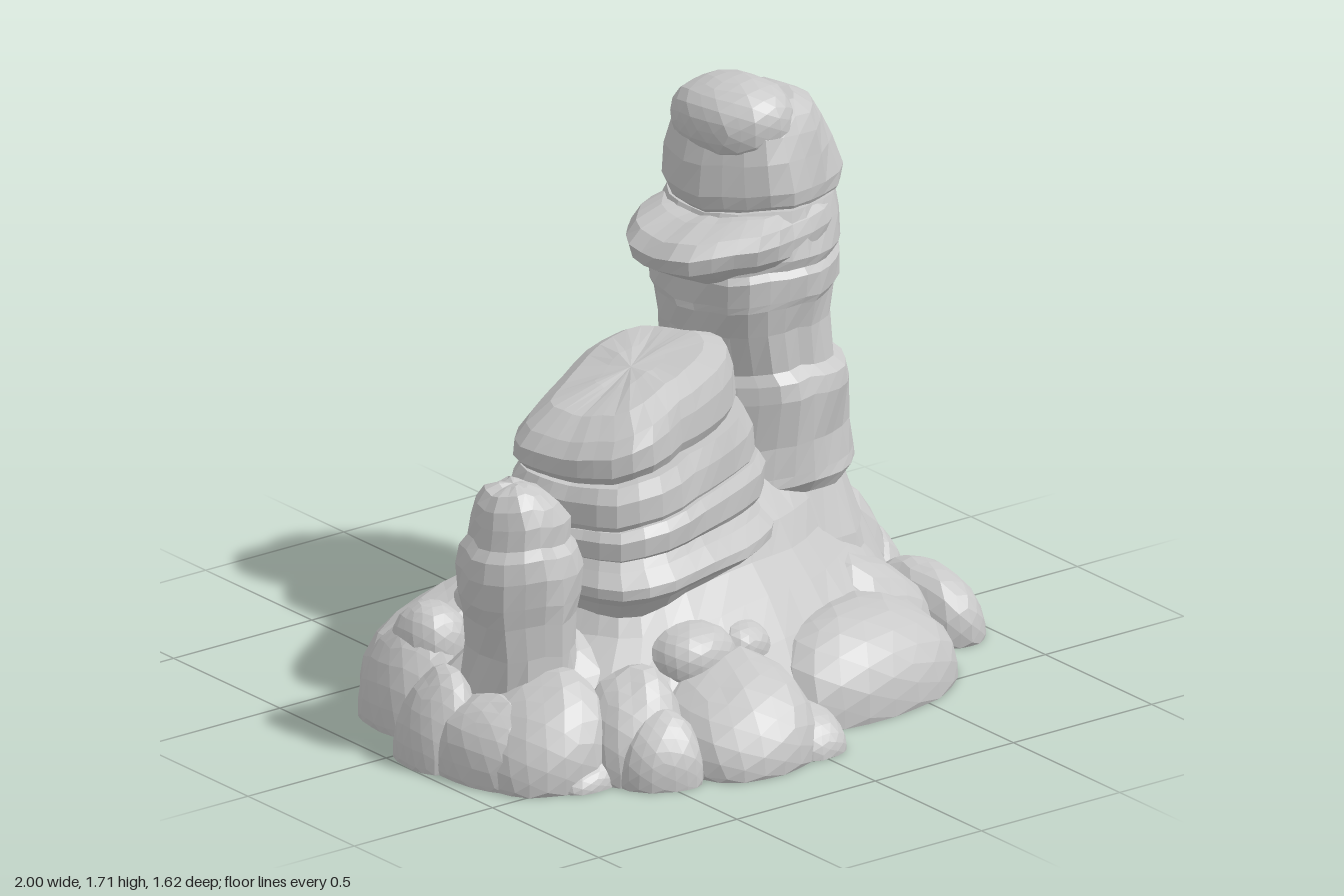
import * as THREE from 'three';

const stone = new THREE.MeshStandardMaterial({ color: 0xc8c8c8, flatShading: true });
stone.name = 'grey stone';

// Repeatable lumpiness that depends only on position, so shared corners stay joined
const lump = (x, y, z) =>
  Math.sin(x * 13 + z * 7 + y * 5) * 0.5 + Math.sin(z * 17 - x * 9 + y * 8) * 0.35 + Math.sin(x * 29 + z * 31 + y * 3) * 0.25;

// Superellipse radius in a given direction
const squircle = (c, s, p) => 1 / Math.pow(Math.abs(c) ** p + Math.abs(s) ** p, 1 / p);

// Layered rock: rings of [y, centre x, centre z, half length, half width, tilt]
function strata(name, rings, { angle = 0, power = 2.6, sides = 32, rough = 0.012 } = {}) {
  const pos = [], index = [];
  const ca = Math.cos(angle), sa = Math.sin(angle);
  rings.forEach(([y, cx, cz, hu, hv, tilt = 0]) => {
    for (let i = 0; i < sides; i++) {
      const a = (i / sides) * Math.PI * 2, c = Math.cos(a), s = Math.sin(a);
      const r = squircle(c, s, power);
      const k = lump(c * 0.5, y * 2, s * 0.5) * rough;
      const u = c * (r * hu + k), v = s * (r * hv + k);
      const dx = u * ca + v * sa, dz = v * ca - u * sa;
      const dy = y > 0.05 ? lump(c * 0.3, y * 0.3, s * 0.3) * rough * 0.9 : 0;
      pos.push(cx + dx, y + tilt * dx + dy, cz + dz);
    }
  });
  for (let j = 0; j < rings.length - 1; j++) {
    for (let i = 0; i < sides; i++) {
      const a = j * sides + i, b = j * sides + (i + 1) % sides;
      index.push(a, a + sides, b, b, a + sides, b + sides);
    }
  }
  // Close both ends
  [0, rings.length - 1].forEach((j) => {
    const m = pos.length / 3, [y, cx, cz] = rings[j];
    pos.push(cx, y, cz);
    for (let i = 0; i < sides; i++) {
      const a = j * sides + i, b = j * sides + (i + 1) % sides;
      index.push(...(j ? [m, b, a] : [m, a, b]));
    }
  });
  const g = new THREE.BufferGeometry();
  g.setAttribute('position', new THREE.Float32BufferAttribute(pos, 3));
  g.setIndex(index);
  g.computeVertexNormals();
  const mesh = new THREE.Mesh(g, stone);
  mesh.name = name;
  return mesh;
}

// Boulder between heights bottom and top; those on the ground are cut flat and rise towards the middle
function boulder(name, x, z, rx, rz, top, angle = 0, bottom = -top * 0.75) {
  const g = new THREE.IcosahedronGeometry(1, 3);
  const p = g.attributes.position, v = new THREE.Vector3();
  const cy = (top + bottom) / 2, ry = (top - bottom) / 2;
  const ca = Math.cos(angle), sa = Math.sin(angle);
  const inward = new THREE.Vector2(0.1 - x, -0.05 - z).normalize();
  const lean = bottom < 0 ? 0.3 : 0;
  for (let i = 0; i < p.count; i++) {
    v.fromBufferAttribute(p, i);
    const n = Math.pow(Math.abs(v.x) ** 2.4 + Math.abs(v.y) ** 2.4 + Math.abs(v.z) ** 2.4, 1 / 2.4);
    v.multiplyScalar((1 + 0.04 * lump(v.x * 0.3 + x * 3, v.y * 0.3, v.z * 0.3 + z * 3)) / n);
    const u = v.x * rx, w = v.z * rz;
    const dx = u * ca + w * sa, dz = w * ca - u * sa;
    const rise = 1 + lean * (dx * inward.x + dz * inward.y) / Math.max(rx, rz);
    p.setXYZ(i, x + dx, Math.max(0.01, (cy + v.y * ry) * rise), z + dz);
  }
  g.computeVertexNormals();
  const mesh = new THREE.Mesh(g, stone);
  mesh.name = name;
  return mesh;
}

export function createModel() {
  const model = new THREE.Group();
  model.name = 'rockFormation';

  // Broad sloping foot under everything
  model.add(strata('foot', [
    [0.01, 0.03, -0.02, 0.84, 0.58], [0.12, 0.04, -0.02, 0.8, 0.54], [0.24, 0.08, -0.03, 0.72, 0.45],
    [0.34, 0.11, -0.03, 0.64, 0.35], [0.42, 0.12, -0.03, 0.6, 0.28], [0.5, 0.13, -0.03, 0.57, 0.24],
    [0.6, 0.13, -0.04, 0.5, 0.17],
  ], { angle: 0.32, power: 2.4, sides: 40 }));

  // Tall tower with banded layers
  model.add(strata('tower', [
    [0.2, 0.48, -0.18, 0.33, 0.36], [0.36, 0.46, -0.19, 0.3, 0.32], [0.5, 0.45, -0.2, 0.28, 0.275],
    [0.54, 0.45, -0.2, 0.31, 0.3], [0.57, 0.45, -0.2, 0.3, 0.295], [0.66, 0.45, -0.19, 0.265, 0.275],
    [0.8, 0.45, -0.18, 0.25, 0.28], [0.85, 0.45, -0.18, 0.245, 0.27], [0.88, 0.44, -0.18, 0.225, 0.24],
    [1.0, 0.43, -0.18, 0.235, 0.235], [1.08, 0.43, -0.18, 0.25, 0.245], [1.1, 0.44, -0.19, 0.262, 0.26],
    [1.17, 0.44, -0.19, 0.262, 0.265], [1.19, 0.44, -0.19, 0.25, 0.25], [1.22, 0.45, -0.19, 0.255, 0.26],
    [1.3, 0.46, -0.2, 0.245, 0.25], [1.36, 0.47, -0.2, 0.22, 0.23],
  ], { angle: 0.3, power: 2.4, sides: 28 }));

  // Overhanging shelf near the top
  model.add(strata('shelf', [
    [1.17, 0.4, -0.18, 0.23, 0.18], [1.2, 0.39, -0.175, 0.28, 0.21], [1.24, 0.375, -0.17, 0.325, 0.245, 0.02],
    [1.29, 0.375, -0.17, 0.335, 0.255, 0.04], [1.33, 0.385, -0.17, 0.3, 0.24, 0.05], [1.355, 0.41, -0.18, 0.22, 0.2, 0.05],
  ], { angle: 0.2, power: 2.3, sides: 28 }));

  // Head of the tower and its cap stone
  model.add(strata('towerHead', [
    [1.33, 0.48, -0.2, 0.2, 0.2], [1.37, 0.49, -0.21, 0.245, 0.23], [1.41, 0.49, -0.215, 0.257, 0.238],
    [1.5, 0.48, -0.215, 0.235, 0.222], [1.57, 0.475, -0.215, 0.21, 0.205], [1.62, 0.48, -0.21, 0.17, 0.18],
    [1.65, 0.49, -0.21, 0.1, 0.12],
  ], { angle: 0.3, power: 2.3, sides: 22 }));
  model.add(boulder('capStone', 0.4, -0.19, 0.15, 0.18, 1.715, 0.2, 1.48));

  // Tilted slabs stacked beside the tower
  const slabs = [
    ['lowerSlab', [
      [0.38, -0.1, 0.0, 0.38, 0.26], [0.44, -0.11, 0.02, 0.4, 0.29], [0.47, -0.12, 0.03, 0.42, 0.32],
      [0.5, -0.12, 0.03, 0.42, 0.32], [0.54, -0.12, 0.03, 0.39, 0.28], [0.57, -0.12, 0.03, 0.37, 0.26],
    ]],
    ['middleSlab', [
      [0.54, -0.11, 0.02, 0.36, 0.25], [0.58, -0.11, 0.02, 0.39, 0.28, 0.03], [0.64, -0.11, 0.02, 0.39, 0.28, 0.06],
      [0.67, -0.11, 0.02, 0.37, 0.26, 0.08],
    ]],
    ['upperSlab', [
      [0.65, -0.12, 0.01, 0.355, 0.25, 0.06], [0.68, -0.12, 0.01, 0.37, 0.265, 0.06], [0.75, -0.12, 0.01, 0.365, 0.26, 0.08],
      [0.8, -0.12, 0.01, 0.34, 0.24, 0.12],
    ]],
    ['topSlab', [
      [0.79, -0.13, -0.01, 0.31, 0.225, 0.12], [0.83, -0.13, -0.01, 0.335, 0.245, 0.14], [0.9, -0.13, -0.01, 0.335, 0.24, 0.2],
      [0.95, -0.12, -0.01, 0.31, 0.22, 0.24], [0.985, -0.11, -0.02, 0.25, 0.16, 0.22], [0.995, -0.1, -0.02, 0.12, 0.07, 0.2],
    ]],
  ];
  slabs.forEach(([name, rings]) => model.add(strata(name, rings, { angle: 0.36, power: 3.6, rough: 0.009 })));

  // Small pillar on the other side
  model.add(strata('smallPillar', [
    [0.2, -0.65, 0.18, 0.17, 0.16], [0.34, -0.65, 0.18, 0.155, 0.15], [0.44, -0.655, 0.18, 0.165, 0.155],
    [0.5, -0.655, 0.18, 0.18, 0.165], [0.58, -0.655, 0.18, 0.182, 0.17], [0.64, -0.66, 0.18, 0.165, 0.155],
    [0.67, -0.66, 0.18, 0.14, 0.135], [0.73, -0.655, 0.18, 0.135, 0.13], [0.78, -0.67, 0.18, 0.11, 0.11],
    [0.82, -0.68, 0.18, 0.075, 0.08], [0.835, -0.68, 0.18, 0.035, 0.04],
  ], { power: 2.3, sides: 18, rough: 0.01 }));

  // Boulders around the foot: x, z, half length, half width, top, turn, bottom
  const boulders = [
    [0.1, -0.5, 0.45, 0.27, 0.36, 0.2], [0.55, -0.6, 0.18, 0.21, 0.28], [0.74, -0.28, 0.21, 0.26, 0.41],
    [0.85, -0.25, 0.12, 0.24, 0.27], [0.87, 0.12, 0.125, 0.2, 0.21], [0.62, 0.14, 0.22, 0.18, 0.3, 0.2],
    [0.4, 0.41, 0.35, 0.21, 0.27, 0.25], [-0.18, 0.57, 0.24, 0.23, 0.26, 0.3], [0.01, 0.68, 0.1, 0.1, 0.13],
    [-0.02, 0.38, 0.09, 0.09, 0.32, 0, 0.15], [-0.21, 0.4, 0.14, 0.11, 0.355, 0, 0.15], [-0.5, 0.5, 0.15, 0.14, 0.29],
    [-0.49, 0.62, 0.13, 0.1, 0.2, -0.5], [-0.72, 0.37, 0.2, 0.19, 0.28], [-0.68, 0.5, 0.1, 0.09, 0.09],
    [-0.84, 0.28, 0.12, 0.2, 0.23, 0.2], [-0.89, 0.1, 0.11, 0.13, 0.27], [-0.62, 0.14, 0.3, 0.26, 0.33],
    [-0.76, -0.2, 0.13, 0.16, 0.31], [-0.7, -0.18, 0.11, 0.11, 0.36, 0, 0.1], [-0.5, -0.37, 0.27, 0.2, 0.3, 0.15],
    [-0.42, -0.56, 0.12, 0.1, 0.18], [-0.27, -0.33, 0.1, 0.09, 0.38, 0, 0.15], [-0.42, -0.27, 0.11, 0.09, 0.36, 0, 0.15],
  ];
  boulders.forEach((b, i) => model.add(boulder(`boulder${i + 1}`, ...b)));
  return model;
}
